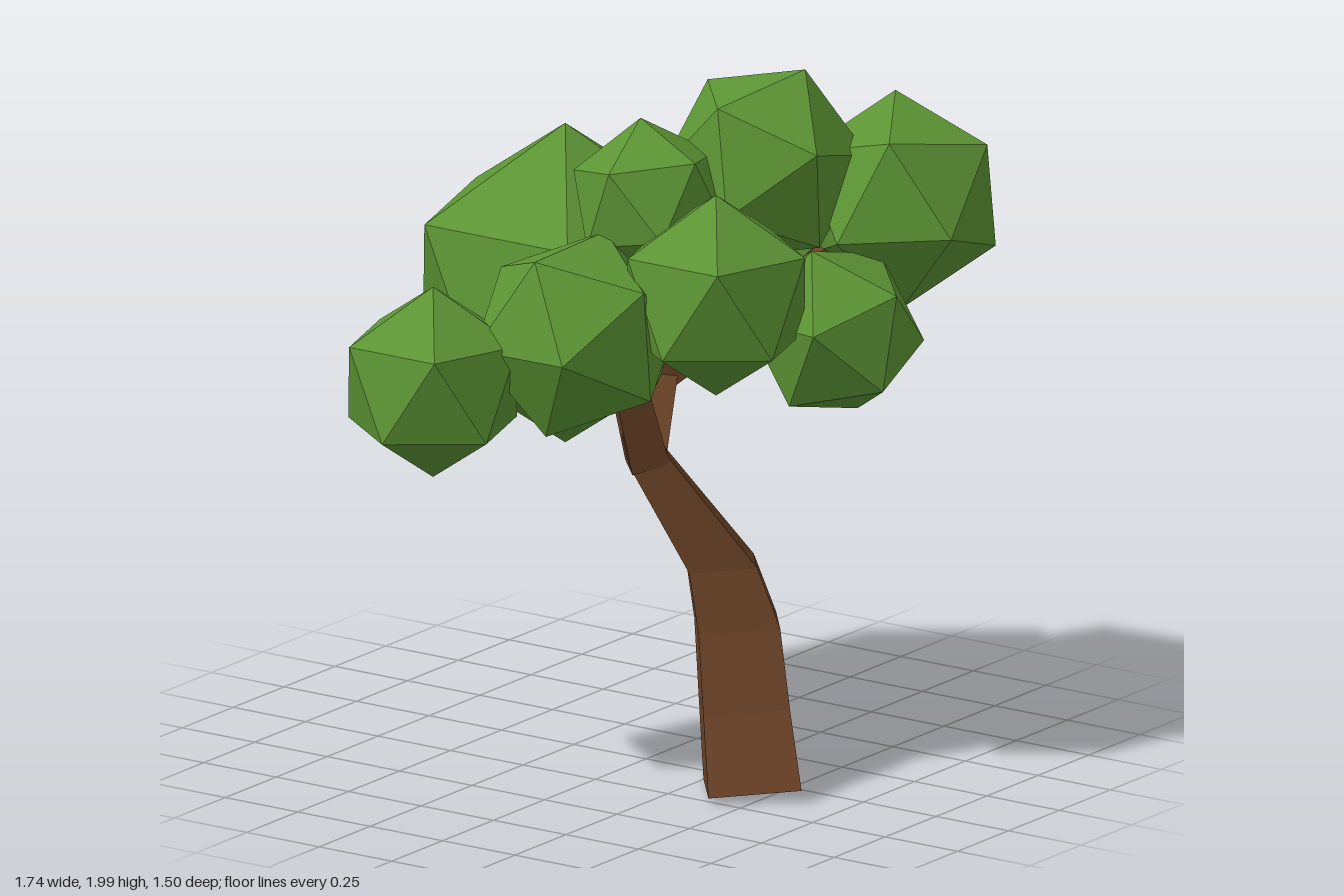
import * as THREE from 'three';

const V = (p) => new THREE.Vector3(...p);
const bark = new THREE.MeshStandardMaterial({ color: 0x6b4226, flatShading: true });
const leaf = new THREE.MeshStandardMaterial({ color: 0x5c9434, flatShading: true });

// Icosahedron turned so that two neighbouring corners lie along a and b
function foliage(centre, radius, a = [0, 1, 0], b = [0.894, 0.447, 0]) {
  const va = V(a).normalize(), vb = V(b).normalize();
  const x = va.clone().sub(vb).normalize();
  const y = va.clone().add(vb).normalize();
  const z = x.clone().cross(y);
  const mesh = new THREE.Mesh(new THREE.IcosahedronGeometry(radius, 0), leaf);
  mesh.quaternion.setFromRotationMatrix(new THREE.Matrix4().makeBasis(x, y, z));
  mesh.position.set(...centre);
  return mesh;
}

// Four-sided tapering limb between two points
function branch(from, to, r0, r1) {
  const p = V(from), q = V(to), dir = q.clone().sub(p);
  const mesh = new THREE.Mesh(new THREE.CylinderGeometry(r1, r0, dir.length(), 4), bark);
  mesh.quaternion.setFromUnitVectors(new THREE.Vector3(0, 1, 0), dir.clone().normalize());
  mesh.position.copy(p).add(q).multiplyScalar(0.5);
  return mesh;
}

// Bent four-sided trunk: each ring is [x, y, z, radius]
function trunk() {
  const rings = [
    [-0.09, 0.02, 0.43, 0.185],
    [-0.03, 0.23, 0.36, 0.172],
    [0.013, 0.45, 0.305, 0.162],
    [0.0, 0.62, 0.26, 0.135],
    [-0.14, 0.94, 0.105, 0.085],
    [-0.165, 1.02, 0.09, 0.07],
  ];
  const n = rings.length - 1;
  const geo = new THREE.CylinderGeometry(1, 1, 1, 4, n);
  const pos = geo.attributes.position;
  for (let i = 0; i < pos.count; i++) {
    const [x, y, z, r] = rings[Math.round((pos.getY(i) + 0.5) * n)];
    const dx = pos.getX(i) * r, dz = pos.getZ(i) * r;
    pos.setXYZ(i, x + dx - 0.12 * dz, y + 0.1 * dz, z + dz + 0.12 * dx);
  }
  geo.computeVertexNormals();
  return new THREE.Mesh(geo, bark);
}

export function createModel() {
  const tree = new THREE.Group();
  const add = (name, mesh) => { mesh.name = name; tree.add(mesh); };

  add('trunk', trunk());
  add('rightBranch', branch([-0.15, 0.93, 0.11], [-0.27, 1.35, 0.08], 0.078, 0.06));
  add('leftBranch', branch([-0.14, 0.95, 0.1], [0.27, 1.3, -0.1], 0.07, 0.06));
  add('frontBranch', branch([0.05, 1.12, 0.02], [0.45, 1.5, 0.4], 0.05, 0.04));

  // Crown clumps
  add('backFoliage', foliage([0.1, 1.32, -0.35], 0.47));
  add('farRightFoliage', foliage([-0.62, 1.21, -0.3], 0.28));
  add('frontFoliage', foliage([-0.12, 1.45, 0.325], 0.295));
  add('rightFoliage', foliage([-0.345, 1.335, 0], 0.305, [-0.265, -0.01, 0.14], [-0.17, 0.245, -0.02]));
  add('upperFoliage', foliage([-0.045, 1.665, 0.045], 0.235, [0.025, 0.225, -0.045], [-0.205, 0.115, 0]));
  add('topFoliage', foliage([0.285, 1.72, 0.205], 0.297, [0.08, 0.28, 0.08], [0.03, 0.21, -0.205]));
  add('frontLeftFoliage', foliage([0.57, 1.593, 0.472], 0.308, [0.08, 0.292, -0.07], [0.3, 0.062, 0.003]));
  add('leftFoliage', foliage([0.485, 1.355, -0.02], 0.307, [0.265, 0.015, 0.14], [0.1, 0.295, 0.04]));
  add('lowerFrontFoliage', foliage([0.235, 1.29, 0.485], 0.262, [-0.075, 0.25, -0.025], [-0.235, 0.04, 0.095]));
  return tree;
}
